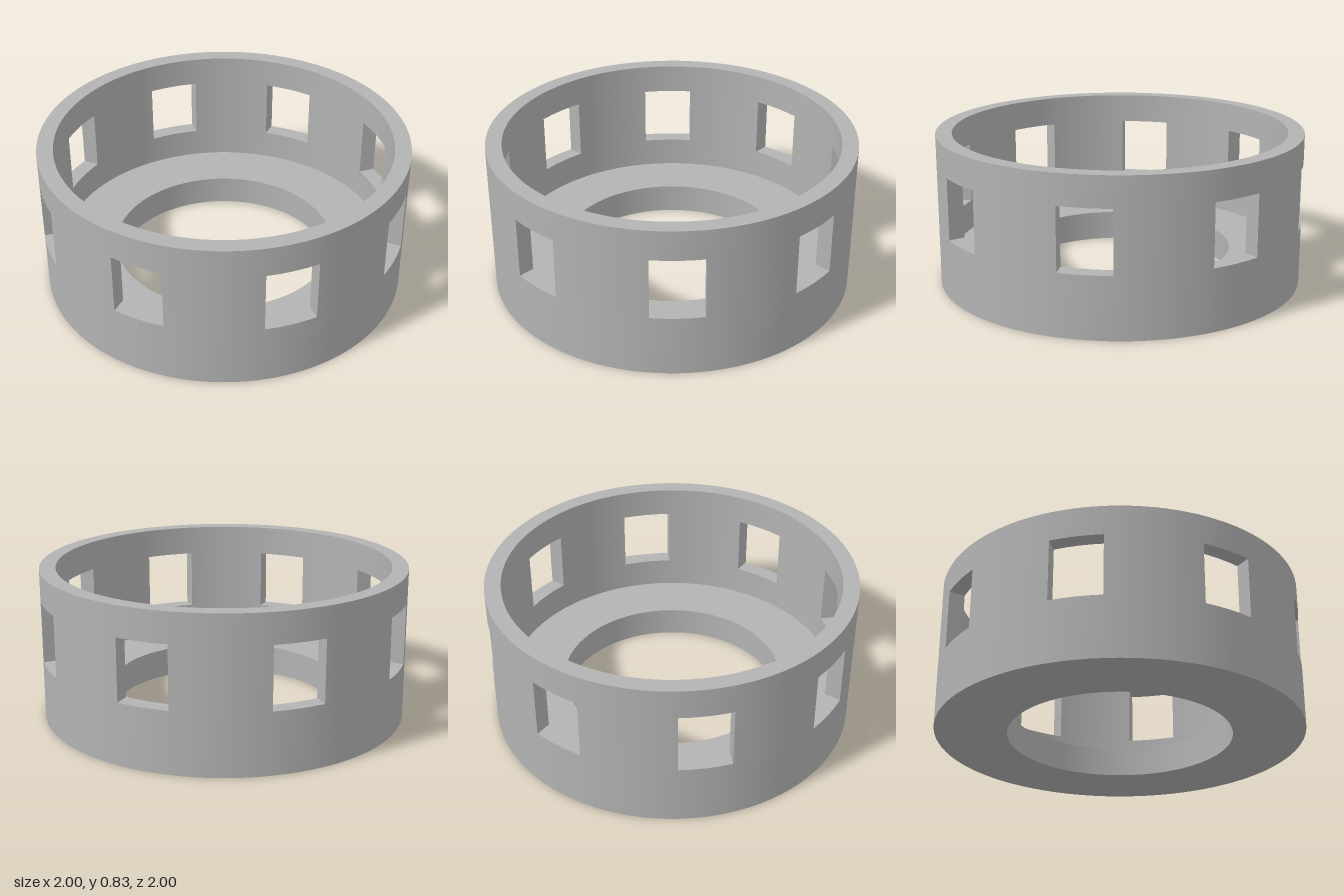
import * as THREE from 'three';
import { toCreasedNormals } from 'three/addons/utils/BufferGeometryUtils.js';

const OUTER = 1, INNER = 0.912, HOLE = 0.61;
const HEIGHT = 0.833, FLOOR = 0.167, SILL = 0.335, LINTEL = 0.67;
const WINDOWS = 8, HALF_WIDTH = 0.139;
const WINDOW_STEPS = 4, PIER_STEPS = 12;

// Closed cross-section as [radius, height], walked so that faces point outward
const profile = [
  [OUTER, 0], [OUTER, SILL], [OUTER, LINTEL], [OUTER, HEIGHT],
  [INNER, HEIGHT], [INNER, LINTEL], [INNER, SILL], [INNER, FLOOR],
  [HOLE, FLOOR], [HOLE, 0],
];
const PIERCED = [1, 5]; // bands of the profile cut by the windows

// Angle pairs around the ring; the window sides are parallel, so they
// meet the outer and inner walls at different angles
function makeColumns() {
  const columns = [];
  const pitch = (2 * Math.PI) / WINDOWS;
  const a = Math.asin(HALF_WIDTH / OUTER), b = Math.asin(HALF_WIDTH / INNER);
  for (let k = 0; k < WINDOWS; k++) {
    const mid = k * pitch;
    for (let i = 0; i < WINDOW_STEPS; i++) {
      const t = (2 * i) / WINDOW_STEPS - 1;
      columns.push({ outer: mid + a * t, inner: mid + b * t, open: true, first: i === 0, last: i === WINDOW_STEPS - 1 });
    }
    for (let i = 0; i < PIER_STEPS; i++) {
      const t = i / PIER_STEPS;
      columns.push({ outer: mid + a + (pitch - 2 * a) * t, inner: mid + b + (pitch - 2 * b) * t, open: false });
    }
  }
  return columns;
}

function makeRing() {
  const positions = [];
  const point = ([r, y], column) => {
    const angle = r === OUTER ? column.outer : column.inner;
    return [r * Math.sin(angle), y, r * Math.cos(angle)];
  };
  const quad = (a, b, c, d) => positions.push(...a, ...b, ...c, ...a, ...c, ...d);
  const band = (p, q, c0, c1) => quad(point(p, c0), point(p, c1), point(q, c1), point(q, c0));

  const columns = makeColumns();
  columns.forEach((c0, i) => {
    const c1 = columns[(i + 1) % columns.length];
    profile.forEach((p, j) => {
      if (c0.open && PIERCED.includes(j)) return;
      band(p, profile[(j + 1) % profile.length], c0, c1);
    });
    if (!c0.open) return;

    // Window sill, lintel and jambs
    const o0 = [OUTER, SILL], o1 = [OUTER, LINTEL], i0 = [INNER, SILL], i1 = [INNER, LINTEL];
    band(o0, i0, c0, c1);
    band(i1, o1, c0, c1);
    if (c0.first) quad(point(o0, c0), point(i0, c0), point(i1, c0), point(o1, c0));
    if (c0.last) quad(point(o0, c1), point(o1, c1), point(i1, c1), point(i0, c1));
  });

  const geometry = new THREE.BufferGeometry();
  geometry.setAttribute('position', new THREE.Float32BufferAttribute(positions, 3));
  return toCreasedNormals(geometry, 0.4);
}

export function createModel() {
  const grey = new THREE.MeshStandardMaterial({ color: 0xb3b3b3 });
  grey.name = 'grey';
  const ring = new THREE.Mesh(makeRing(), grey);
  ring.name = 'windowedRing';
  const model = new THREE.Group();
  model.name = 'windowedCollar';
  model.add(ring);
  return model;
}
